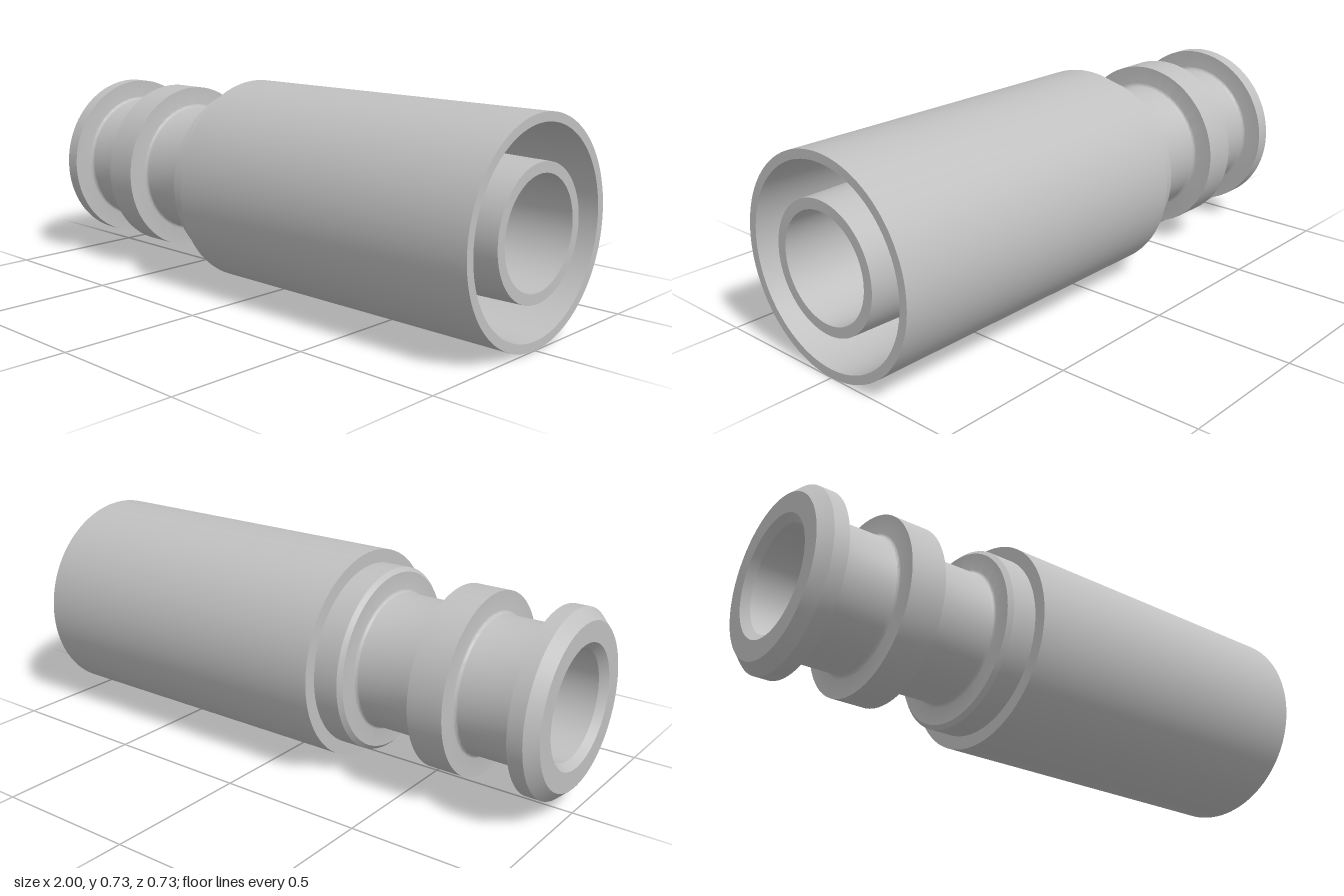
import * as THREE from 'three';
import { toCreasedNormals } from 'three/addons/utils/BufferGeometryUtils.js';

const AXIS_HEIGHT = 0.363;

// Turn a closed profile of [x, radius] pairs around the x axis
function turned(name, profile, material) {
  const points = profile.map(([x, r]) => new THREE.Vector2(r, x));
  const lathe = new THREE.LatheGeometry(points, 96).rotateZ(-Math.PI / 2);
  const mesh = new THREE.Mesh(toCreasedNormals(lathe, 0.5), material);
  mesh.name = name;
  return mesh;
}

// Quarter-round fillet between the neck and a shoulder; side -1 ends at a shoulder, +1 starts at one
function fillet(x, neck, side, f = 0.012) {
  const arc = [];
  for (let i = 0; i <= 4; i++) {
    const a = (i / 4) * Math.PI / 2;
    arc.push([x + side * f * (1 - Math.sin(a)), neck + f * (1 - Math.cos(a))]);
  }
  return side > 0 ? arc.reverse() : arc;
}

export function createModel() {
  const steel = new THREE.MeshStandardMaterial({ color: 0xc0c0c0 });
  steel.name = 'steel grey';

  const model = new THREE.Group();
  model.name = 'crimpFitting';
  const neck = 0.233, flange = 0.309, collar = 0.317, bore = 0.182;

  // Stem: end flange, middle flange, collar, hose tail and through bore
  const stem = turned('stem', [
    [-1, 0.205], [-1, 0.273], [-0.962, flange], [-0.91, flange],
    ...fillet(-0.91, neck, 1),
    ...fillet(-0.69, neck, -1),
    [-0.69, flange], [-0.566, flange],
    ...fillet(-0.566, neck, 1),
    ...fillet(-0.318, neck, -1),
    [-0.318, 0.303], [-0.304, collar], [-0.2, collar],
    [-0.2, 0.238], [-0.1, 0.238],
    [1, 0.217], [1, bore], [-0.975, bore], [-1, 0.205],
  ], steel);

  // Sleeve: closed ring at the collar, slightly flared inside towards the open end
  const sleeve = turned('sleeve', [
    [-0.214, 0.23], [-0.214, 0.363], [1, 0.363], [1, 0.333],
    [-0.1, 0.298], [-0.1, 0.23], [-0.214, 0.23],
  ], steel);

  for (const part of [stem, sleeve]) {
    part.position.y = AXIS_HEIGHT;
    model.add(part);
  }
  return model;
}
